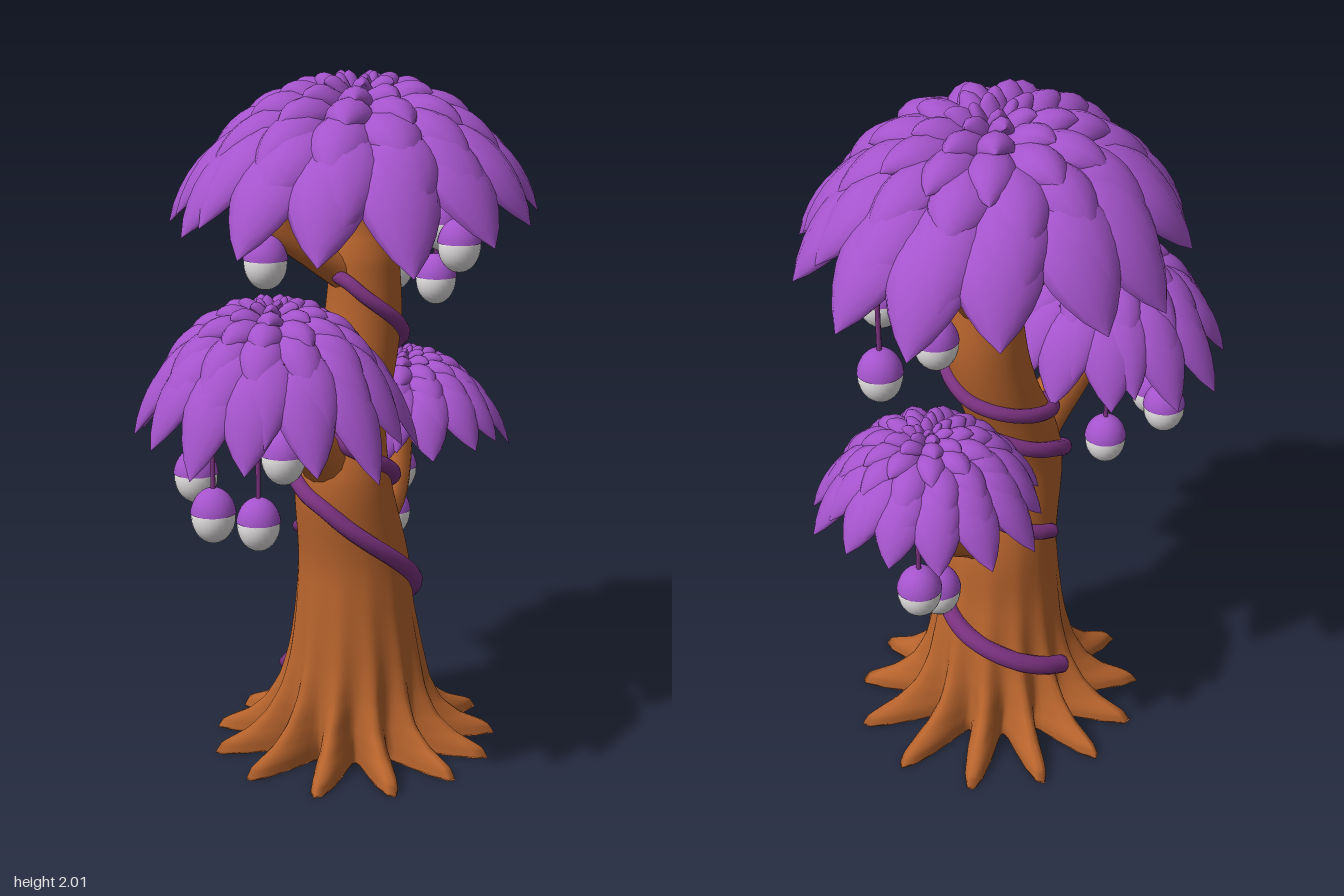
import * as THREE from 'three';
import { mergeGeometries } from 'three/addons/utils/BufferGeometryUtils.js';

const mat = (name, color, side = THREE.FrontSide) => {
  const m = new THREE.MeshStandardMaterial({ color, side });
  m.name = name;
  return m;
};
const V = (x, y, z) => new THREE.Vector3(x, y, z);

// Smooth skin over a list of closed loops with equal point counts
function skin(rings) {
  const n = rings[0].length, pos = [], idx = [];
  rings.forEach(r => r.forEach(p => pos.push(p.x, p.y, p.z)));
  for (let i = 0; i < rings.length - 1; i++) {
    for (let j = 0; j < n; j++) {
      const k = (j + 1) % n, a = i * n, b = a + n;
      idx.push(a + j, b + j, a + k, a + k, b + j, b + k);
    }
  }
  const g = new THREE.BufferGeometry();
  g.setAttribute('position', new THREE.Float32BufferAttribute(pos, 3));
  g.setIndex(idx);
  g.computeVertexNormals();
  return g;
}

// Round limb along a path whose radius runs from r0 to r1
function limb(points, r0, r1, rows = 20, sides = 14) {
  const curve = new THREE.CatmullRomCurve3(points);
  const f = curve.computeFrenetFrames(rows);
  const rings = [];
  for (let i = 0; i <= rows; i++) {
    const c = curve.getPointAt(i / rows), r = THREE.MathUtils.lerp(r0, r1, i / rows);
    rings.push(Array.from({ length: sides }, (_, j) => {
      const a = j / sides * Math.PI * 2;
      return c.clone().addScaledVector(f.normals[i], r * Math.cos(a)).addScaledVector(f.binormals[i], -r * Math.sin(a));
    }));
  }
  const end = i => rings[i].map(() => curve.getPointAt(i ? 1 : 0));
  return skin([end(0), ...rings, end(1)]);
}

// Trunk sections: height, centre x, centre z, radius between roots, radius along roots
const TRUNK = [
  [0, 0, -0.095, 0.2, 0.44], [0.03, 0, -0.095, 0.205, 0.42], [0.07, 0, -0.09, 0.207, 0.335],
  [0.12, 0, -0.085, 0.205, 0.275], [0.2, 0.005, -0.08, 0.2, 0.23], [0.3, 0.01, -0.075, 0.19, 0.203],
  [0.45, 0.01, -0.065, 0.173, 0.177], [0.6, 0.008, -0.06, 0.162, 0.163], [0.85, -0.008, -0.015, 0.14, 0.14],
  [1.0, -0.02, -0.05, 0.125, 0.125], [1.15, -0.008, -0.11, 0.117, 0.117], [1.3, 0.005, -0.14, 0.113, 0.113],
  [1.5, 0.01, -0.135, 0.1, 0.1], [1.7, 0, -0.125, 0.1, 0.1], [1.88, 0, -0.12, 0.11, 0.11],
];

function trunkGeometry() {
  const centre = new THREE.CatmullRomCurve3(TRUNK.map(s => V(s[1], s[0], s[2])));
  const radius = new THREE.CatmullRomCurve3(TRUNK.map(s => V(s[3], s[4], 0)));
  const rows = 70, sides = 130, roots = 13, rings = [];
  for (let i = 0; i <= rows; i++) {
    const c = centre.getPoint(i / rows), r = radius.getPoint(i / rows);
    rings.push(Array.from({ length: sides }, (_, j) => {
      const a = j / sides * Math.PI * 2;
      const lobe = Math.pow((1 + Math.cos(roots * a + 0.5 * Math.sin(2 * a))) / 2, 1.3);
      const R = r.x + (r.y - r.x) * lobe * (1 - 0.05 * Math.cos(2 * a));
      return V(c.x + R * Math.cos(a), Math.max(0, c.y), c.z + R * Math.sin(a));
    }));
  }
  // hollowed base
  rings.unshift(rings[0].map(() => V(0, 0.05, -0.09)));
  return skin(rings);
}

// Trunk centre and radius at a height
function trunkAt(y) {
  const i = Math.max(1, TRUNK.findIndex(s => s[0] >= y));
  const a = TRUNK[i - 1], b = TRUNK[i], t = (y - a[0]) / (b[0] - a[0]);
  const m = k => THREE.MathUtils.lerp(a[k], b[k], t);
  return { x: m(1), z: m(2), r: (m(3) + m(4)) / 2 };
}

// Vine winding up the trunk; one height per quarter turn, starting on the -x side
function vineGeometry(heights, r0, r1) {
  const pts = [];
  for (let i = 0; i <= (heights.length - 1) * 4; i++) {
    const q = i / 4, k = Math.min(Math.floor(q), heights.length - 2);
    const y = THREE.MathUtils.lerp(heights[k], heights[k + 1], q - k);
    const a = Math.PI + q * Math.PI / 2, t = trunkAt(y), r = t.r + 0.01;
    pts.push(V(t.x + r * Math.cos(a), y, t.z + r * Math.sin(a)));
  }
  return limb(pts, r0, r1, 120, 10);
}

const POWER = 2.5;
const domeY = (c, r) => c.top - c.drop * Math.pow(r / c.R, POWER);

// One leaf: a pointed lens that follows the dome from radius r0 to r1
function leaf(c, angle, r0, r1, half) {
  const U = V(Math.cos(angle), 0, Math.sin(angle)), T = V(-U.z, 0, U.x);
  const rings = [], rows = 10, sides = 12, thick = 0.042 * c.R / 0.55;
  for (let i = 0; i <= rows; i++) {
    const u = i / rows, r = r0 + (r1 - r0) * u;
    const s = Math.pow(Math.max(0, Math.sin(Math.PI * (0.12 + 0.88 * Math.pow(u, 1.3)))), 0.8);
    const y = domeY(c, r) - c.top + (-0.055 + 0.085 * u) * c.R / 0.55;
    const slope = POWER * c.drop / c.R * Math.pow(r / c.R, POWER - 1), len = Math.hypot(1, slope);
    rings.push(Array.from({ length: sides }, (_, j) => {
      const p = j / sides * Math.PI * 2, v = Math.cos(p);
      const h = (Math.sin(p) * (Math.sin(p) > 0 ? 1 : 0.4) - 0.5 * v * v) * thick * s;
      return U.clone().multiplyScalar(r + h * slope / len).addScaledVector(T, half * s * v).setY(y + h / len);
    }));
  }
  return skin(rings);
}

function canopy(name, c, leafMat, coreMat) {
  const g = new THREE.Group();
  g.name = name;
  let seed = c.seed;
  const jitter = () => ((seed = (seed * 16807) % 2147483647) / 2147483647 - 0.5);
  // layers from the rim inwards: start, tip, leaf count
  const layers = [[0.45, 1, 14], [0.36, 0.91, 14], [0.25, 0.76, 12], [0.14, 0.58, 11], [0.06, 0.39, 9], [0, 0.23, 7], [0, 0.12, 4]];
  const leaves = [];
  layers.forEach(([f0, f1, n], k) => {
    for (let i = 0; i < n; i++) {
      const tip = f1 * (1 + 0.08 * jitter());
      const a = (i + (k % 2) / 2 + 0.25 * jitter()) / n * Math.PI * 2 + k * 0.13;
      leaves.push(leaf(c, a, f0 * c.R, tip * c.R, (k < 2 ? 1.2 : 1.06) * Math.PI * (f0 * 0.35 + f1 * 0.65) * c.R / n));
    }
  });
  const foliage = new THREE.Mesh(mergeGeometries(leaves), leafMat);
  foliage.name = name + 'Leaves';
  // dark rounded pad that fills the canopy below the leaves
  const profile = [[0, -0.5], [0.35, -0.51], [0.54, -0.52], [0.61, -0.47], [0.63, -0.36], [0.6, -0.26]]
    .map(([r, y]) => new THREE.Vector2(r * c.R, y * c.R));
  const core = new THREE.Mesh(new THREE.LatheGeometry(profile, 36), coreMat);
  core.name = name + 'Underside';
  g.add(foliage, core);
  g.position.set(c.x, c.top, c.z);
  g.scale.set(c.sx, 1, c.sz);
  return g;
}

// Hanging fruit: pale body, coloured cap and a thin stem up to its canopy
function fruit([x, y, z], c, m) {
  const g = new THREE.Group();
  g.name = 'hangingFruit';
  const add = (name, geo, material) => {
    const mesh = new THREE.Mesh(geo, material);
    mesh.name = name;
    g.add(mesh);
    return mesh;
  };
  add('fruitBody', new THREE.SphereGeometry(0.061, 24, 16), m.shell).scale.y = 1.25;
  add('fruitCap', new THREE.SphereGeometry(0.0635, 24, 10, 0, Math.PI * 2, 0, Math.PI * 0.46), m.leaf).scale.y = 1.25;
  const h = domeY(c, Math.hypot(x - c.x, z - c.z)) - 0.04 - y;
  add('fruitStem', new THREE.CylinderGeometry(0.007, 0.007, h, 8), m.vine).position.y = h / 2;
  g.position.set(x, y, z);
  return g;
}

export function createModel() {
  const tree = new THREE.Group();
  tree.name = 'tree';
  const m = {
    bark: mat('bark', 0xb8642d),
    leaf: mat('purpleLeaf', 0xa554cc),
    vine: mat('darkPurpleVine', 0x7f3484),
    core: mat('plumUnderside', 0x722a66, THREE.DoubleSide),
    shell: mat('paleShell', 0xf3f0f0),
  };
  const add = (name, geo, material) => {
    const mesh = new THREE.Mesh(geo, material);
    mesh.name = name;
    tree.add(mesh);
  };
  add('trunk', trunkGeometry(), m.bark);
  add('lowerVine', vineGeometry([0.2, 0.36, 0.57, 0.79, 0.94, 1.04], 0.028, 0.022), m.vine);
  add('upperVine', vineGeometry([0.66, 0.76, 0.89, 1.0, 1.08, 1.16, 1.28, 1.42, 1.5], 0.022, 0.02), m.vine);

  // Branches
  add('frontBranch', limb([V(-0.01, 0.78, -0.05), V(-0.03, 0.93, 0.08), V(-0.06, 1.04, 0.22), V(-0.09, 1.16, 0.31), V(-0.08, 1.36, 0.34)], 0.085, 0.042), m.bark);
  add('backBranch', limb([V(0.01, 0.56, -0.08), V(0.02, 0.66, -0.21), V(0.03, 0.72, -0.3), V(0.03, 0.85, -0.365), V(0.03, 1.08, -0.39)], 0.065, 0.035), m.bark);
  add('upperLeftBranch', limb([V(0, 1.4, -0.12), V(-0.08, 1.49, -0.01), V(-0.15, 1.57, 0.07), V(-0.19, 1.68, 0.1), V(-0.2, 1.8, 0.11)], 0.05, 0.03), m.bark);
  add('upperBackBranch', limb([V(0, 1.4, -0.15), V(-0.01, 1.49, -0.24), V(-0.03, 1.58, -0.31), V(-0.04, 1.7, -0.34), V(-0.04, 1.83, -0.35)], 0.05, 0.03), m.bark);

  // Canopies and the fruit below them
  const crowns = {
    topCanopy: [{ x: 0, z: -0.1, top: 1.965, R: 0.56, drop: 0.435, sx: 0.96, sz: 1.05, seed: 11 },
      [[-0.165, 1.5, 0.165], [0.3, 1.53, -0.13], [0.14, 1.53, -0.43], [0.01, 1.41, -0.37], [0.1, 1.35, -0.5]]],
    frontCanopy: [{ x: -0.07, z: 0.335, top: 1.415, R: 0.39, drop: 0.4, sx: 1.02, sz: 0.95, seed: 29 },
      [[-0.3, 0.92, 0.35], [-0.18, 0.86, 0.49], [-0.135, 0.78, 0.295], [-0.035, 1.0, 0.345]]],
    backCanopy: [{ x: 0.03, z: -0.39, top: 1.135, R: 0.327, drop: 0.285, sx: 1, sz: 0.98, seed: 53 },
      [[-0.01, 0.62, -0.415], [-0.04, 0.72, -0.55]]],
  };
  for (const [name, [c, fruits]] of Object.entries(crowns)) {
    tree.add(canopy(name, c, m.leaf, m.core));
    fruits.forEach(p => tree.add(fruit(p, c, m)));
  }
  return tree;
}
